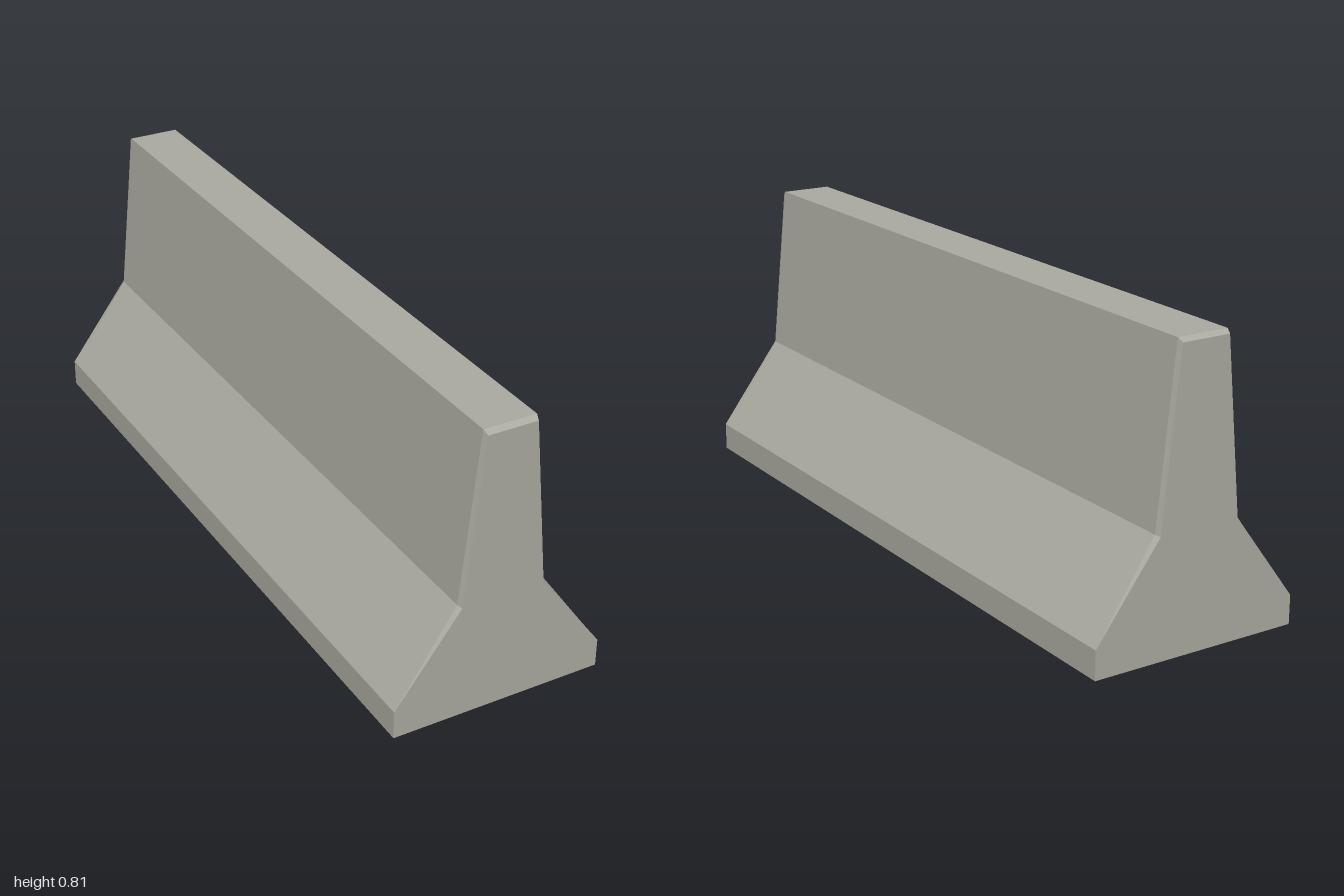
import * as THREE from 'three';

// Half profile from base to top: [half width, height]
const outer = [[0.303, 0], [0.303, 0.08], [0.124, 0.33], [0.0745, 0.81]];
// Same profile where the end faces are chamfered
const inner = [[0.303, 0], [0.303, 0.08], [0.118, 0.327], [0.07, 0.8]];
const HALF = 1, CHAMFER = 0.015;

// Full cross-section: up the +x side, over the top, down the -x side
function section(half, z) {
  const right = half.map(([x, y]) => [x, y, z]);
  const left = half.map(([x, y]) => [-x, y, z]).reverse();
  return [...right, ...left];
}

function flatMesh(name, quads, material) {
  const pos = quads.flatMap(([a, b, c, d]) => [...a, ...b, ...c, ...a, ...c, ...d]);
  const geo = new THREE.BufferGeometry();
  geo.setAttribute('position', new THREE.Float32BufferAttribute(pos, 3));
  geo.computeVertexNormals();
  const mesh = new THREE.Mesh(geo, material);
  mesh.name = name;
  return mesh;
}

// Quads joining two sections, z0 < z1; the underside stays open
function skin(s0, s1) {
  const quads = [];
  for (let i = 0; i < s0.length - 1; i++) quads.push([s0[i], s0[i + 1], s1[i + 1], s1[i]]);
  return quads;
}

// End face as stacked trapezoids
function cap(s, facing) {
  const quads = [];
  const n = s.length - 1;
  for (let i = 0; i < s.length / 2 - 1; i++) {
    const q = [s[n - i], s[i], s[i + 1], s[n - i - 1]];
    quads.push(facing > 0 ? q : q.reverse());
  }
  return quads;
}

export function createModel() {
  const concrete = new THREE.MeshStandardMaterial({ color: 0xabaaa0 });
  concrete.name = 'concrete';
  concrete.side = THREE.DoubleSide;

  const back = section(inner, -HALF);
  const backEdge = section(outer, -HALF + CHAMFER);
  const frontEdge = section(outer, HALF - CHAMFER);
  const front = section(inner, HALF);

  const barrier = new THREE.Group();
  barrier.name = 'roadBarrier';
  barrier.add(
    flatMesh('barrierBody', skin(backEdge, frontEdge), concrete),
    flatMesh('frontChamfer', skin(frontEdge, front), concrete),
    flatMesh('backChamfer', skin(back, backEdge), concrete),
    flatMesh('frontEnd', cap(front, 1), concrete),
    flatMesh('backEnd', cap(back, -1), concrete)
  );
  return barrier;
}
